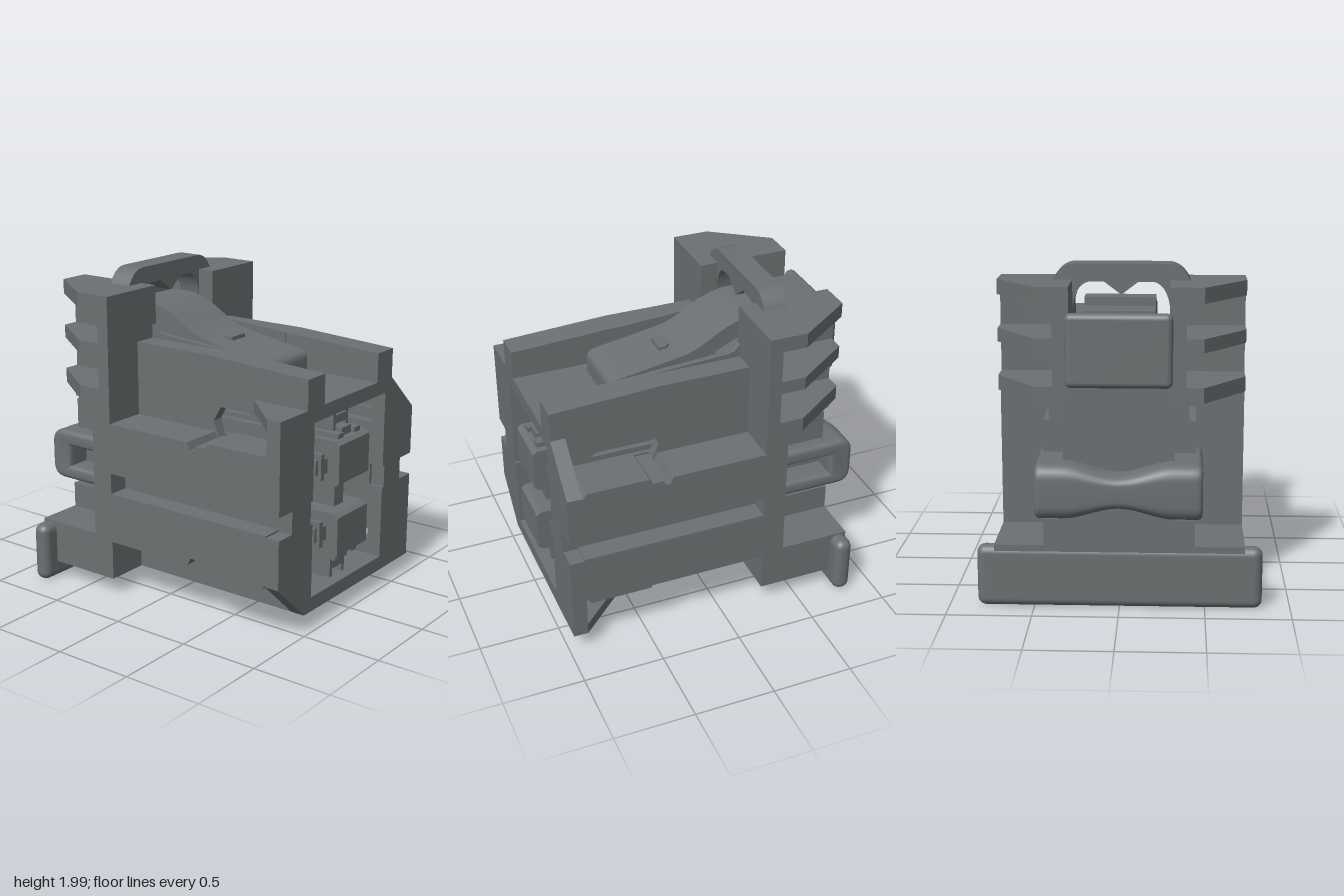
import * as THREE from 'three';
import { toCreasedNormals } from 'three/addons/utils/BufferGeometryUtils.js';
import { RoundedBoxGeometry } from 'three/addons/geometries/RoundedBoxGeometry.js';

export function createModel() {
  const model = new THREE.Group();
  model.name = 'connectorHousing';
  const grey = new THREE.MeshStandardMaterial({ color: 0x6c7072 });
  grey.name = 'charcoalGrey';

  const add = (name, geo) => {
    const m = new THREE.Mesh(geo, grey);
    m.name = name;
    model.add(m);
    return m;
  };
  // box from its limits
  const box = (name, xa, xb, ya, yb, za, zb) => {
    const g = new THREE.BoxGeometry(Math.abs(xb - xa), yb - ya, zb - za);
    g.translate((xa + xb) / 2, (ya + yb) / 2, (za + zb) / 2);
    return add(name, g);
  };
  const rounded = (name, xa, xb, ya, yb, za, zb, r) => {
    const g = new RoundedBoxGeometry(xb - xa, yb - ya, zb - za, 5, r);
    g.translate((xa + xb) / 2, (ya + yb) / 2, (za + zb) / 2);
    return add(name, g);
  };
  const outline = (pts, hole) => {
    const s = new THREE.Shape(pts.map(p => new THREE.Vector2(...p)));
    if (hole) s.holes.push(new THREE.Path(hole.map(p => new THREE.Vector2(...p))));
    return s;
  };
  const extrude = (shape, depth, opt = {}) =>
    new THREE.ExtrudeGeometry(shape, { depth, bevelEnabled: false, curveSegments: 8, ...opt });
  // (x, y) outline pushed along z
  const alongZ = (name, shape, za, zb) => add(name, extrude(shape, zb - za).translate(0, 0, za));
  // (z, y) outline pushed along x
  const alongX = (name, shape, xa, xb) =>
    add(name, extrude(shape, xb - xa).rotateY(-Math.PI / 2).translate(xb, 0, 0));
  // (x, z) outline pushed along y
  const alongY = (name, pts, ya, yb) =>
    add(name, extrude(outline(pts.map(([x, z]) => [x, -z])), yb - ya).rotateX(-Math.PI / 2).translate(0, ya, 0));

  const CY = 0.735; // height of the half-turn axis of the front block
  const flip = y => 2 * CY - y;

  // front plate with side notches, two cut corners and the mating opening
  alongZ('frontPlate', outline([
    [-0.46, 0.11], [0.73, 0.11], [0.73, 0.66], [0.6, 0.66], [0.6, 0.8], [0.73, 0.8], [0.73, 1.11],
    [0.46, 1.355], [-0.73, 1.355], [-0.73, 0.8], [-0.6, 0.8], [-0.6, 0.66], [-0.73, 0.66], [-0.73, 0.36],
  ], [[-0.39, 0.2], [-0.39, 0.66], [-0.41, 0.66], [-0.41, 0.8], [-0.39, 0.8], [-0.39, 1.27],
    [0.39, 1.27], [0.39, 0.8], [0.41, 0.8], [0.41, 0.66], [0.39, 0.66], [0.39, 0.2]]), 0.88, 0.97);
  box('housingRoof', -0.46, 0.46, 1.27, 1.355, -0.3, 0.88);
  box('housingFloor', -0.46, 0.46, 0.11, 0.2, -0.3, 0.88);

  // corner gussets behind the front plate
  alongY('upperGusset', [[-0.73, 0.88], [-0.46, 0.88], [-0.46, 0.6]], 1.285, 1.355);
  alongY('lowerGusset', [[0.73, 0.88], [0.46, 0.88], [0.46, 0.6]], 0.11, 0.18);

  // side walls with tapered windows
  const win = [[0.88, 1.17], [0.78, 1.17], [0.56, 1.27], [0.36, 1.27], [0.31, 1.18], [0.35, 1.07], [0.88, 1.07]];
  const wallPanel = outline([[-0.3, 0.2], [0.88, 0.2], [0.88, 0.28], [0.78, 0.28], [0.56, 0.2005], [0.36, 0.2005],
    [0.31, 0.29], [0.35, 0.4], [0.88, 0.4], [0.88, 1.07], ...win.slice(0, 6).reverse(), [0.88, 1.17], [0.88, 1.27], [-0.3, 1.27]]);
  // simple strips keep the window outline clean
  const strip = (name, f, xa, xb) => {
    alongX(name, outline([[0.88, f(1.17)], [0.78, f(1.17)], [0.56, f(1.27)], [0.88, f(1.27)]]), xa, xb);
    alongX(name, outline([[0.36, f(1.27)], [0.31, f(1.18)], [0.35, f(1.07)], [-0.3, f(1.07)], [-0.3, f(1.27)]]), xa, xb);
  };
  for (const s of [-1, 1]) {
    const [xa, xb] = s > 0 ? [0.39, 0.46] : [-0.46, -0.39];
    strip('windowWall', y => y, xa, xb);
    strip('windowWall', flip, xa, xb);
    box('sideWall', xa, xb, 0.4, 1.07, -0.3, 0.88);

    // side wings: groove along the middle, narrow cross slot at the windows
    const [wa, wb] = s > 0 ? [0.46, 0.73] : [-0.73, -0.46];
    const wing = f => outline([[-0.3, f(0.8)], [0.88, f(0.8)], [0.88, f(1.1)], [0.85, f(1.135)], [0.47, f(1.135)],
      [0.45, f(1.1)], [0.38, f(1.1)], [0.37, f(1.07)], [0.34, f(1.07)], [0.32, f(1.115)], [-0.3, f(1.115)]]);
    alongX('upperWing', wing(y => y), wa, wb);
    alongX('lowerWing', wing(flip), wa, wb);
    box('wingGroove', s * 0.46, s * 0.6, 0.66, 0.81, -0.3, 0.88);

    // guide rails on the roof, with a raised inner lip sweeping up to the flange
    const [ra, rb] = s > 0 ? [0.29, 0.46] : [-0.46, -0.29];
    alongX('guideRail', outline([[0.97, 1.35], [0.97, 1.535], [0.3, 1.57], [-0.3, 1.57], [-0.3, 1.35]]), ra, rb);
    const [la, lb] = s > 0 ? [0.285, 0.32] : [-0.32, -0.285];
    alongX('railLip', outline([[0.3, 1.35], [0.3, 1.57], [-0.18, 1.6], [-0.23, 1.61], [-0.26, 1.64],
      [-0.3, 1.68], [-0.3, 1.35]]), la, lb);
    alongX('leverHinge', outline([[0.22, 1.35], [0.2, 1.4], [-0.1, 1.5], [-0.3, 1.52], [-0.3, 1.35]]),
      s > 0 ? 0.2 : -0.285, s > 0 ? 0.285 : -0.2);
  }

  // rear flange wall
  alongZ('flangeWall', outline([[-0.73, 0.11], [0.73, 0.11], [0.73, 1.89], [0.285, 1.89], [0.285, 1.4],
    [-0.285, 1.4], [-0.285, 1.89], [-0.73, 1.89]]), -0.35, -0.27);
  box('flangeLower', -0.73, 0.73, 0.11, 1.23, -0.41, -0.34);
  box('rearBase', -0.73, 0.73, 0.11, 0.38, -0.85, -0.4);
  rounded('footPlate', -0.835, 0.835, 0, 0.37, -0.855, -0.745, 0.05);

  // rear column, narrower behind the clip
  box('rearColumn', -0.32, 0.32, 0.38, 1.33, -0.85, -0.4);
  box('columnLedge', -0.44, 0.44, 0.93, 1.12, -0.8, -0.4);
  box('columnLedge', -0.4, 0.4, 1.12, 1.24, -0.85, -0.4);
  box('columnLedge', -0.44, 0.44, 0.38, 0.54, -0.85, -0.4);

  // rear towers with stacked shelves
  for (const s of [-1, 1]) {
    box('towerWall', s * 0.285, s * 0.38, 1.23, 1.89, -0.85, -0.34);
    for (const [ya, yb] of [[1.23, 1.32], [1.52, 1.6], [1.8, 1.89]])
      alongY('towerShelf', [[s * 0.3, -0.34], [s * 0.73, -0.34], [s * 0.73, -0.5], [s * 0.48, -0.85], [s * 0.3, -0.85]], ya, yb);
  }

  // release lever between the rails
  const lever = new THREE.Shape();
  lever.moveTo(0.44, 1.355);
  lever.lineTo(0.52, 1.355);
  lever.lineTo(0.52, 1.45);
  lever.quadraticCurveTo(0.52, 1.5, 0.46, 1.51);
  lever.lineTo(0.1, 1.57);
  lever.bezierCurveTo(-0.12, 1.6, -0.14, 1.72, -0.38, 1.76);
  lever.lineTo(-0.87, 1.76);
  lever.lineTo(-0.87, 1.66);
  lever.lineTo(-0.38, 1.65);
  lever.bezierCurveTo(-0.2, 1.62, -0.12, 1.5, 0.1, 1.48);
  const lv = alongX('releaseLever', lever, -0.205, 0.205);
  lv.geometry = toCreasedNormals(lv.geometry, 0.5);
  box('leverBlock', -0.205, 0.205, 1.74, 1.81, -0.67, -0.53);
  alongY('leverBump', [[-0.065, 0.15], [0.065, 0.15], [0.065, 0.1], [0.04, 0.075], [-0.04, 0.075], [-0.065, 0.1]], 1.54, 1.585);
  rounded('leverPushPad', -0.305, 0.305, 1.325, 1.75, -0.925, -0.85, 0.036);

  // arched guard over the lever
  const guard = new THREE.Shape();
  guard.moveTo(-0.41, 1.87);
  guard.quadraticCurveTo(-0.36, 1.985, -0.27, 1.985);
  guard.lineTo(0.27, 1.985);
  guard.quadraticCurveTo(0.36, 1.985, 0.41, 1.87);
  guard.lineTo(0.41, 1.75);
  guard.lineTo(0.285, 1.72);
  guard.quadraticCurveTo(0.27, 1.86, 0.19, 1.88);
  guard.lineTo(0.1, 1.88);
  guard.lineTo(0, 1.805);
  guard.lineTo(-0.1, 1.88);
  guard.lineTo(-0.19, 1.88);
  guard.quadraticCurveTo(-0.27, 1.86, -0.285, 1.72);
  guard.lineTo(-0.41, 1.75);
  const gd = alongZ('leverGuard', guard, -0.53, -0.38);
  gd.geometry = toCreasedNormals(gd.geometry, 0.5);

  // rear clip: rounded loop, pinched towards the middle
  const loop = (za, zb, ya, yb, r, P) => {
    const p = new P();
    p.moveTo(za + r, ya); p.lineTo(zb - r, ya); p.quadraticCurveTo(zb, ya, zb, ya + r);
    p.lineTo(zb, yb - r); p.quadraticCurveTo(zb, yb, zb - r, yb);
    p.lineTo(za + r, yb); p.quadraticCurveTo(za, yb, za, yb - r);
    p.lineTo(za, ya + r); p.quadraticCurveTo(za, ya, za + r, ya);
    return p;
  };
  const ring = loop(-0.97, -0.47, 0.6, 0.865, 0.06, THREE.Shape);
  ring.holes.push(loop(-0.88, -0.51, 0.63, 0.825, 0.01, THREE.Path));
  const clip = extrude(ring, 0.9, { steps: 28, bevelEnabled: true, bevelSize: 0.03, bevelThickness: 0.03, bevelSegments: 4 });
  clip.rotateY(-Math.PI / 2).translate(0.45, 0, 0);
  const p = clip.attributes.position;
  for (let i = 0; i < p.count; i++) {
    const t = Math.min(1, Math.abs(p.getX(i)) / 0.32);
    const k = 0.6 + 0.4 * t * t * (3 - 2 * t);
    p.setY(i, 0.73 + (p.getY(i) - 0.73) * k);
  }
  add('rearClip', toCreasedNormals(clip, 0.6));

  // two contact carriers inside the opening, the lower one mirrored
  for (const f of [y => y, flip]) {
    const b = (name, xa, xb, ya, yb, za, zb) => box(name, xa, xb, Math.min(f(ya), f(yb)), Math.max(f(ya), f(yb)), za, zb);
    alongX('contactCarrier', outline([[-0.3, f(0.82)], [0.97, f(0.82)], [1, f(0.84)], [1, f(1.08)], [0.97, f(1.1)], [-0.3, f(1.1)]]), -0.165, 0.165);
    b('carrierKey', -0.05, 0.05, 1.1, 1.15, -0.3, 0.94);
    b('keySlot', -0.055, 0.055, 1.17, 1.22, -0.3, 0.9);
    for (const s of [-1, 1]) {
      b('carrierRib', s * 0.06, s * 0.12, 1.09, 1.13, -0.3, 0.96);
      b('keyRail', s * 0.055, s * 0.08, 1.13, 1.27, -0.3, 0.9);
      b('sideTongue', s * 0.16, s * 0.21, 0.9, 0.99, -0.3, 0.92);
      b('sideEar', s * 0.2, s * 0.235, 0.865, 1.025, -0.3, 0.92);
      b('sideEarTip', s * 0.235, s * 0.26, 0.9, 0.99, -0.3, 0.9);
    }
  }
  box('carrierBridge', -0.05, 0.05, 0.64, 0.83, -0.3, 0.9);
  for (const s of [-1, 1]) box('bridgeRib', s * 0.05, s * 0.085, 0.65, 0.82, -0.3, 0.7);

  return model;
}
